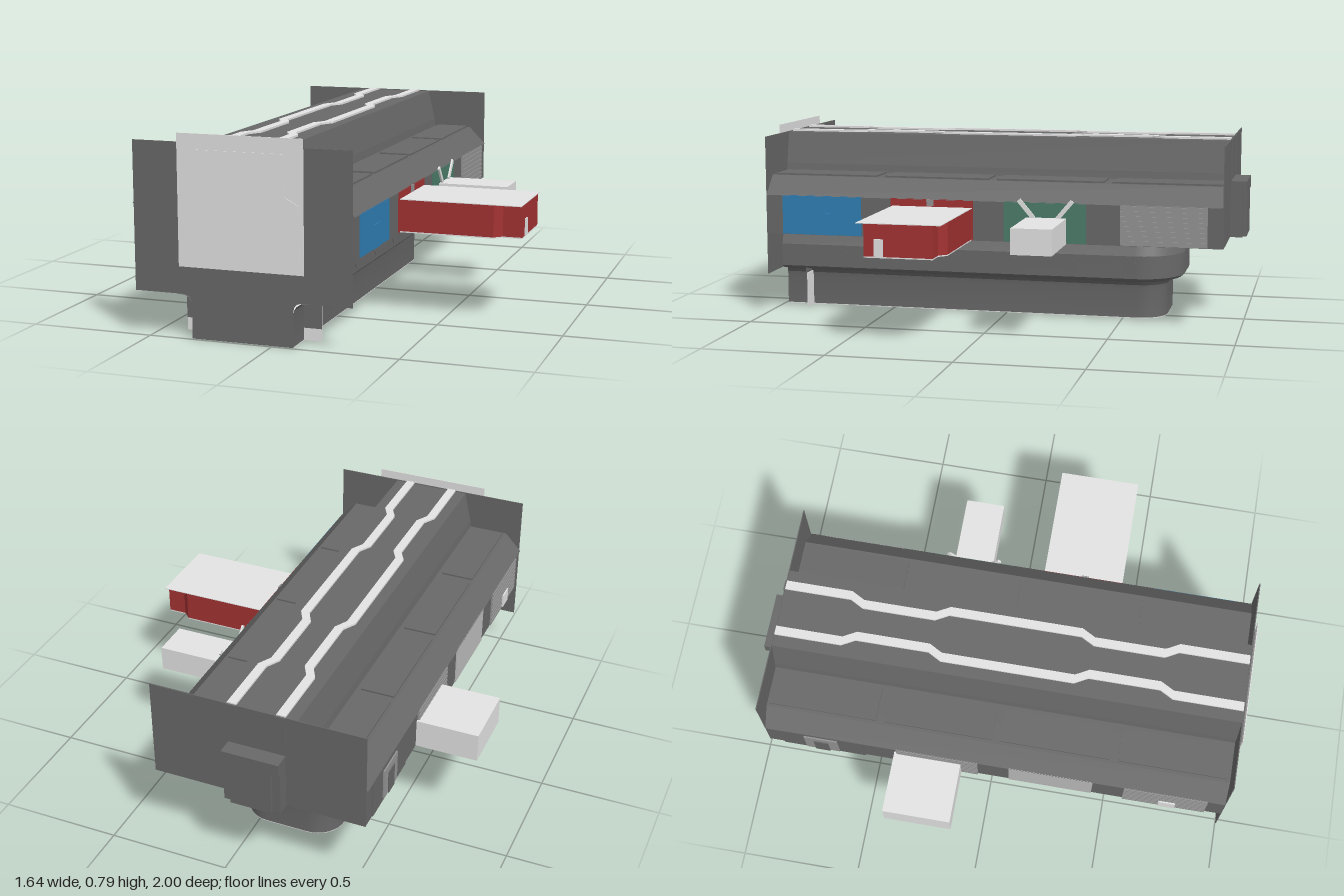
import * as THREE from 'three';
import { toCreasedNormals } from 'three/addons/utils/BufferGeometryUtils.js';

const CX = -0.122; // centre line of the body
const FRONT = 0.985, BACK = -0.93;

export function createModel() {
  const root = new THREE.Group();
  const mat = (name, color, side = THREE.FrontSide) => {
    const m = new THREE.MeshStandardMaterial({ color, side });
    m.name = name;
    return m;
  };
  const dark = mat('dark grey', 0x686868, THREE.DoubleSide);
  const light = mat('light grey', 0xe3e3e3, THREE.DoubleSide);
  const mid = mat('mid grey', 0x949494);
  const pale = mat('pale grey', 0xbcbcbc);
  const red = mat('red', 0xa33232);
  const blue = mat('blue', 0x2f7fb5);
  const green = mat('green', 0x4c7c69);

  const add = (name, geometry, material) => {
    const mesh = new THREE.Mesh(geometry, material);
    mesh.name = name;
    root.add(mesh);
    return mesh;
  };
  // Box given by its limits
  const box = (name, m, x0, x1, y0, y1, z0, z1) => {
    const g = new THREE.BoxGeometry(Math.abs(x1 - x0), y1 - y0, z1 - z0);
    g.translate((x0 + x1) / 2, (y0 + y1) / 2, (z0 + z1) / 2);
    return add(name, g, m);
  };
  const shapeOf = pts => new THREE.Shape(pts.map(p => new THREE.Vector2(p[0], p[1])));
  // Outline in x,y pushed along z
  const alongZ = (name, m, pts, z0, z1) => {
    const g = new THREE.ExtrudeGeometry(shapeOf(pts), { depth: z1 - z0, bevelEnabled: false });
    return add(name, g.translate(0, 0, z0), m);
  };
  // Outline in x,z pushed down from yTop
  const slab = (name, m, pts, yTop, depth) => {
    const g = new THREE.ExtrudeGeometry(shapeOf(pts), { depth, bevelEnabled: false });
    return add(name, g.rotateX(Math.PI / 2).translate(0, yTop, 0), m);
  };
  // Mirrors a half outline about the centre line
  const mirrored = half => [
    ...half.map(([x, y]) => [CX + x, y]),
    ...half.slice().reverse().map(([x, y]) => [CX - x, y]),
  ];

  // Main body: flat shoulders below a raised roof
  alongZ('body', dark, mirrored([
    [0.441, 0.345], [0.441, 0.51], [0.447, 0.51], [0.372, 0.587],
    [0.202, 0.587], [0.197, 0.62], [0.167, 0.752],
  ]), BACK, FRONT);

  // End walls
  alongZ('frontWall', dark, mirrored([
    [0.205, 0], [0.205, 0.14], [0.209, 0.155], [0.22, 0.167], [0.235, 0.172],
    [0.44, 0.172], [0.44, 0.755],
  ]), FRONT, 0.989);
  box('backWall', dark, CX - 0.442, CX + 0.442, 0.345, 0.755, BACK - 0.004, BACK);

  // Front hatch with light cover
  box('frontHatch', dark, -0.357, 0.113, 0.335, 0.735, 0.989, 0.996);
  box('frontCover', light, -0.375, 0.13, 0.28, 0.79, 0.994, 0.997);
  alongZ('coverPanel', light, mirrored([
    [0.235, 0.34], [0.235, 0.54], [0.18, 0.57], [0.18, 0.73],
  ]), 0.997, 1.0);

  // Rear block
  box('rearBlock', dark, CX - 0.118, CX + 0.118, 0.345, 0.53, -0.985, BACK);
  box('rearBlockCap', dark, CX - 0.118, CX + 0.118, 0.53, 0.58, -1, BACK);
  box('rearBlockFace', dark, CX - 0.085, CX + 0.085, 0.345, 0.53, -1, -0.985);

  // Lower hull and keel: outlines with rounded rear corners, stacked downwards
  const outline = (hw, zr) => {
    const r = hw - 0.09, pts = [[CX + hw, FRONT]];
    for (const s of [1, -1]) {
      for (let k = 0; k <= 8; k++) {
        const a = (s > 0 ? k : 8 - k) / 8 * Math.PI / 2;
        pts.push([CX + s * (hw - r + r * Math.cos(a)), zr + r - r * Math.sin(a)]);
      }
    }
    pts.push([CX - hw, FRONT]);
    return pts;
  };
  const levels = [
    [0.25, -0.72, 0.345], [0.276, -0.745, 0.275], [0.276, -0.745, 0.18], [0.266, -0.735, 0.17],
    [0.235, -0.705, 0.167], [0.218, -0.688, 0.157], [0.208, -0.678, 0.142],
    [0.205, -0.675, 0.125], [0.205, -0.675, 0.003],
  ];
  const pos = [], idx = [];
  levels.forEach(([hw, zr, y], j) => {
    const ring = outline(hw, zr);
    const n = ring.length;
    ring.forEach(([x, z], i) => {
      pos.push(x, y, z);
      if (j === 0 || i === 0) return;
      const a = (j - 1) * n + i - 1, c = j * n + i - 1;
      idx.push(a, c, a + 1, a + 1, c, c + 1);
    });
  });
  const hull = new THREE.BufferGeometry();
  hull.setAttribute('position', new THREE.Float32BufferAttribute(pos, 3));
  hull.setIndex(idx);
  add('hull', toCreasedNormals(hull, 0.3), dark);
  slab('keelBottom', light, outline(0.205, -0.675), 0.003, 0.003);

  for (const s of [1, -1]) {
    const X = d => CX + s * d;
    // Round hatches along the hull
    for (let k = 0; k < 6; k++) {
      const disc = new THREE.CylinderGeometry(0.03, 0.03, 0.004, 20).rotateZ(Math.PI / 2);
      add('hullPort', disc.translate(X(0.276), 0.227, 0.71 - k * 0.25), dark);
    }
    // Small brackets beside the keel
    box('bracket', light, X(0.205), X(0.278), 0, 0.15, 0.87, 0.874);
    box('bracketFront', dark, X(0.205), X(0.278), 0.05, 0.172, 0.874, 0.878);

    // Raised panels on the flat shoulders, and rail ends on the back wall
    for (let k = 0; k < 4; k++) {
      const z = -0.92 + k * 0.482;
      box('shoulderPanel', dark, X(0.222), X(0.36), 0.585, 0.594, z, z + 0.445);
    }
    box('railEnd', dark, X(0.08), X(0.12), 0.6, 0.755, BACK - 0.008, BACK);

    // Zigzag roof rails
    const path = [
      [0.1, BACK], [0.1, -0.655], [0.07, -0.6], [0.07, -0.3], [0.1, -0.245], [0.1, 0.3],
      [0.07, 0.355], [0.07, 0.645], [0.1, 0.7], [0.1, FRONT],
    ];
    slab('roofRail', light, [
      ...path.map(([x, z]) => [X(x + 0.019), z]),
      ...path.slice().reverse().map(([x, z]) => [X(x - 0.018), z]),
    ], 0.76, 0.009);
  }

  // Side bays, same spacing on both sides
  const bays = [[0.57, 0.915], [0.09, 0.44], [-0.38, -0.04], [-0.87, -0.52]];
  const bay = (name, m, s, i) =>
    box(name, m, CX + s * 0.438, CX + s * 0.446, 0.347, 0.512, bays[i][0], bays[i][1]);
  const slats = (s, i) => {
    for (let k = 0; k < 8; k++) {
      const y = 0.355 + k * 0.02;
      box('louvre', mid, CX + s * 0.445, CX + s * 0.45, y, y + 0.012, bays[i][0], bays[i][1]);
    }
  };
  bay('blueBay', blue, 1, 0);
  bay('redBay', red, 1, 1);
  bay('greenBay', green, 1, 2);
  bay('rightVent', mid, 1, 3);
  slats(1, 3);
  bay('leftVent', mid, -1, 0);
  slats(-1, 0);
  bay('leftPanel', pale, -1, 1);
  bay('leftBoxBay', mid, -1, 2);
  slats(-1, 2);
  bay('leftHatchBay', dark, -1, 3);
  box('blueDoor', blue, 0.32, 0.328, 0.347, 0.44, 0.69, 0.77);
  box('leftHatch', mid, -0.574, -0.56, 0.36, 0.49, -0.77, -0.63);
  box('leftHatchDoor', dark, -0.578, -0.574, 0.36, 0.46, -0.73, -0.67);
  box('leftVentStep', light, -0.578, -0.56, 0.36, 0.42, 0.72, 0.79);

  // Extending red compartment with light top and floor
  const footprint = [
    [0.32, 0.095], [0.705, 0.095], [0.735, 0.125], [0.812, 0.125],
    [0.812, 0.4], [0.735, 0.4], [0.705, 0.43], [0.32, 0.43],
  ];
  slab('redCompartment', red, footprint, 0.478, 0.127);
  slab('compartmentFloor', light, footprint, 0.351, 0.005);
  box('compartmentTop', light, 0.32, 0.814, 0.478, 0.481, 0.093, 0.432);
  box('compartmentLatch', light, 0.81, 0.817, 0.352, 0.42, 0.322, 0.358);
  box('bayLatch', mid, 0.32, 0.33, 0.485, 0.512, 0.255, 0.285);

  // Light drawers on either side, with struts over the right one
  box('rightDrawer', light, 0.315, 0.625, 0.345, 0.45, -0.3, -0.135);
  box('leftDrawer', light, -0.82, -0.56, 0.345, 0.465, -0.39, -0.11);
  for (const s of [1, -1]) {
    const strut = new THREE.BoxGeometry(0.008, 0.095, 0.018).rotateX(s * 0.7);
    add('strut', strut.translate(0.331, 0.485, -0.215 + s * 0.08), light);
  }
  return root;
}
